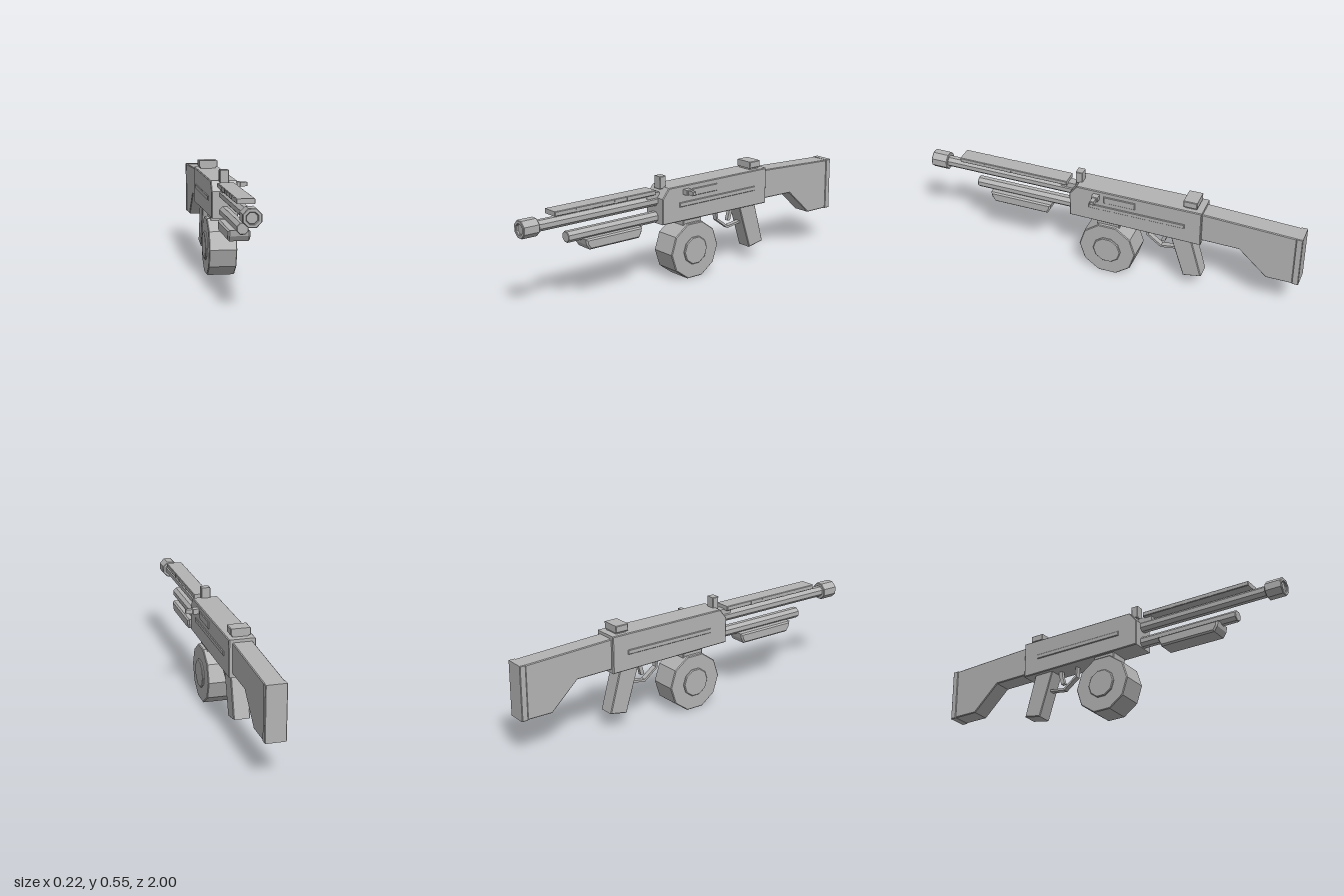
import * as THREE from 'three';

const CX = -0.028; // centre plane of the body

export function createModel() {
  const model = new THREE.Group();
  const grey = new THREE.MeshStandardMaterial({ color: 0xb3b3b3 });
  grey.name = 'grey';

  const add = (name, geometry) => {
    const mesh = new THREE.Mesh(geometry, grey);
    mesh.name = name;
    model.add(mesh);
    return mesh;
  };

  const toShape = (points) => new THREE.Shape(points.map(([a, b]) => new THREE.Vector2(a, b)));

  // Extrude a shape to a total depth, centred, with a small bevel that keeps the outline size
  const extrude = (shape, depth, bevel) => {
    const g = new THREE.ExtrudeGeometry(shape, {
      depth: depth - 2 * bevel, steps: 1, curveSegments: 1, bevelEnabled: bevel > 0,
      bevelThickness: bevel, bevelSize: bevel, bevelOffset: -bevel, bevelSegments: 1,
    });
    return g.translate(0, 0, bevel - depth / 2);
  };

  // Side profile of [z, y] points, spanning x0 to x1
  const profile = (name, points, x0, x1, bevel = 0.004) =>
    add(name, extrude(toShape(points), x1 - x0, bevel).rotateY(-Math.PI / 2).translate((x0 + x1) / 2, 0, 0));

  const block = (name, x0, x1, y0, y1, z0, z1, bevel = 0.003) =>
    profile(name, [[z0, y0], [z1, y0], [z1, y1], [z0, y1]], x0, x1, bevel);

  const polygon = (sides, radius, turn = 0) => Array.from({ length: sides }, (_, i) => {
    const a = turn + (i / sides) * Math.PI * 2;
    return [Math.cos(a) * radius, Math.sin(a) * radius];
  });

  // Octagonal bar along z, with an optional octagonal hole
  const bar = (name, y, radius, z0, z1, hole = 0) => {
    const shape = toShape(polygon(8, radius, Math.PI / 8));
    if (hole) shape.holes.push(toShape(polygon(8, hole, Math.PI / 8)));
    add(name, extrude(shape, z1 - z0, 0.003).translate(CX, y, (z0 + z1) / 2));
  };

  // Receiver with sloped front corner, and side ribs
  profile('receiver', [[0.205, 0.316], [0.205, 0.45], [0.165, 0.5], [-0.495, 0.5], [-0.495, 0.308]], -0.095, 0.039);
  block('sideRibs', -0.1, 0.044, 0.391, 0.415, -0.41, 0.1);
  block('ejectionPort', 0.03, 0.044, 0.437, 0.475, -0.15, 0.018);
  block('handleBase', 0.03, 0.072, 0.454, 0.481, 0.04, 0.075);
  block('handleKnob', 0.07, 0.108, 0.457, 0.479, 0.046, 0.067);

  // Barrel, muzzle and tube
  bar('barrel', 0.434, 0.029, 0.19, 0.99);
  bar('muzzle', 0.434, 0.0465, 0.912, 1.0, 0.0275);
  bar('lowerTube', 0.348, 0.0295, 0.19, 0.745);

  // Top rail with slim cross bands
  block('topRail', -0.071, 0.015, 0.473, 0.497, 0.23, 0.828);
  for (let i = 0; i < 5; i++) {
    const z = 0.39 + i * 0.075;
    block('railBand', -0.072, 0.016, 0.474, 0.495, z, z + 0.018, 0);
  }
  block('railMount', -0.05, -0.006, 0.45, 0.478, 0.19, 0.27, 0);

  // Fore grip under the tube
  profile('foreGrip', [[0.66, 0.328], [0.655, 0.3], [0.637, 0.274], [0.34, 0.274], [0.325, 0.3], [0.32, 0.328]],
    -0.082, 0.024, 0.008);

  // Sights
  block('frontSight', -0.052, -0.005, 0.49, 0.555, 0.15, 0.187);
  block('rearSightBase', -0.07, 0.012, 0.49, 0.515, -0.46, -0.4, 0);
  block('rearSight', -0.079, 0.021, 0.508, 0.543, -0.465, -0.394);

  // Drum with hubs and neck
  const disc = (name, radius, width) =>
    add(name, extrude(toShape(polygon(10, radius)), width, 0.004)
      .rotateY(-Math.PI / 2).translate(CX, 0.147, 0));
  disc('drum', 0.153, 0.142);
  disc('drumHub', 0.075, 0.16);
  block('drumNeck', -0.08, 0.024, 0.27, 0.325, -0.06, 0.06);

  // Grip, guard and trigger
  profile('grip', [[-0.325, 0.325], [-0.435, 0.325], [-0.5, 0.09], [-0.405, 0.072]], -0.07, 0.014);
  profile('triggerGuard', [[-0.19, 0.32], [-0.194, 0.256], [-0.272, 0.198], [-0.372, 0.213], [-0.372, 0.224],
    [-0.275, 0.21], [-0.205, 0.262], [-0.201, 0.32]], -0.042, -0.014, 0);
  profile('trigger', [[-0.288, 0.32], [-0.288, 0.29], [-0.273, 0.238], [-0.293, 0.236], [-0.308, 0.29], [-0.308, 0.32]],
    -0.038, -0.018, 0);

  // Stock and butt plate
  profile('stock', [[-0.485, 0.485], [-0.485, 0.328], [-0.69, 0.325], [-0.835, 0.19], [-0.97, 0.19], [-0.97, 0.465]],
    -0.079, 0.021);
  block('buttPlate', -0.081, 0.023, 0.188, 0.467, -1.0, -0.968);

  return model;
}
